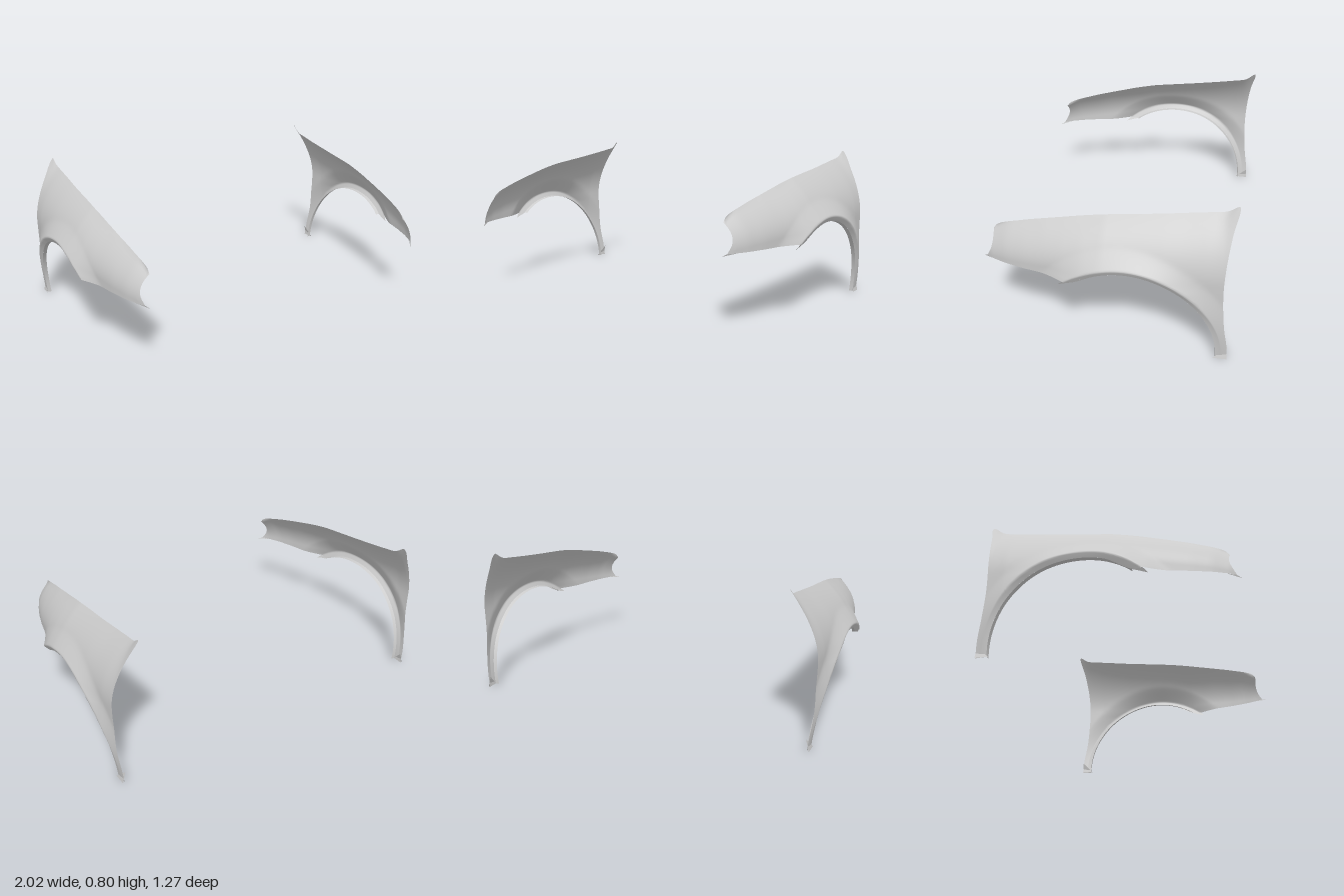
import * as THREE from 'three';

const material = new THREE.MeshStandardMaterial({ color: 0xcccccc, side: THREE.DoubleSide });

// Wheel arch circle in the side plane
const ARCH = { z: -0.12, y: 0.02, r: 0.445 };
const archPoint = (deg, r = ARCH.r) => {
  const a = THREE.MathUtils.degToRad(deg);
  return [ARCH.z + r * Math.cos(a), ARCH.y + r * Math.sin(a)];
};

// Upper outline: bonnet line from the front, then down the door edge (z, y)
const upper = [
  [0.578, 0.525], [0.555, 0.552], [0.42, 0.597], [0.3, 0.627], [0.2, 0.65], [0.12, 0.668],
  [0, 0.69], [-0.12, 0.705], [-0.25, 0.72], [-0.38, 0.737], [-0.5, 0.754], [-0.58, 0.768],
  [-0.635, 0.8], [-0.612, 0.68], [-0.595, 0.55], [-0.588, 0.42], [-0.592, 0.3],
  [-0.602, 0.19], [-0.617, 0.09], [-0.622, 0.004],
];
// Lower outline: straight sill, then round the wheel arch
const lower = [
  [0.612, 0.385], [0.53, 0.385], [0.4, 0.385], [0.27, 0.385], [0.19, 0.385],
  ...[55.1, 74, 90, 105, 118, 128, 135, 140, 143, 148, 154, 160, 167, 175, 182].map((d) => archPoint(d)),
];
const curve = (pts) => new THREE.CatmullRomCurve3(pts.map(([z, y]) => new THREE.Vector3(0, y, z)));
const upperCurve = curve(upper);
const lowerCurve = curve(lower);

// Piecewise linear lookup, keys rising
function lookup(table, k) {
  let i = 1;
  while (i < table.length - 1 && table[i][0] < k) i++;
  const [a, b] = [table[i - 1], table[i]];
  const t = THREE.MathUtils.clamp((k - a[0]) / (b[0] - a[0]), 0, 1);
  return a[1] + (b[1] - a[1]) * t;
}
const outerX = [[-0.64, 0.962], [-0.5, 0.972], [-0.3, 0.974], [0, 0.966], [0.1, 0.958], [0.2, 0.94],
  [0.3, 0.917], [0.4, 0.895], [0.5, 0.866], [0.58, 0.832], [0.635, 0.797]];
const innerX = [[-0.64, 0.832], [-0.55, 0.82], [0, 0.82], [0.15, 0.812], [0.3, 0.8], [0.45, 0.785], [0.58, 0.768]];
const topY = [[-0.635, 0.8], [-0.58, 0.768], [-0.4, 0.74], [-0.2, 0.715], [0, 0.69], [0.3, 0.627], [0.5, 0.572], [0.58, 0.525]];

// Sideways bulge of the panel, with the flare round the arch
function panelX(z, y) {
  const top = lookup(topY, z);
  const waist = lookup([[0, 0.45], [0.58, 0.4]], z);
  const s = THREE.MathUtils.clamp((top - y) / (top - waist), 0, 1);
  const xi = lookup(innerX, z);
  let x = xi + (lookup(outerX, z) - xi) * (1 - (1 - s) ** 2);
  if (z < 0) x -= 0.022 * Math.max(0, (0.45 - y) / 0.45) ** 1.5;
  const r = Math.hypot(z - ARCH.z, y - ARCH.y);
  const flare = r < 0.472
    ? THREE.MathUtils.mapLinear(r, 0.445, 0.472, 0.5, 1)
    : Math.max(0, 1 - (r - 0.472) / 0.09) ** 1.5;
  return x + 0.035 * flare * THREE.MathUtils.clamp(y / 0.4, 0, 1);
}

// Grid surface from a function (u, v) => [x, y, z]
function gridGeometry(fn, nu, nv) {
  const pos = [], idx = [];
  for (let i = 0; i <= nu; i++) for (let j = 0; j <= nv; j++) pos.push(...fn(i / nu, j / nv));
  for (let i = 0; i < nu; i++) {
    for (let j = 0; j < nv; j++) {
      const a = i * (nv + 1) + j, b = a + nv + 1;
      idx.push(a, b, a + 1, b, b + 1, a + 1);
    }
  }
  const g = new THREE.BufferGeometry();
  g.setAttribute('position', new THREE.Float32BufferAttribute(pos, 3));
  g.setIndex(idx);
  g.computeVertexNormals();
  return g;
}

function addMesh(group, geometry, name) {
  const m = new THREE.Mesh(geometry, material);
  m.name = name;
  group.add(m);
}

function createFender(name) {
  const fender = new THREE.Group();
  fender.name = name;

  // Outer skin, lofted from the upper to the lower outline
  addMesh(fender, gridGeometry((u, v) => {
    const t = 1 - (1 - v) ** 1.7;
    const p = upperCurve.getPoint(u).lerp(lowerCurve.getPoint(u), t);
    p.z -= 0.016 * Math.sin(Math.PI * t) * Math.max(0, 1 - u * 12); // concave lamp edge
    return [panelX(p.z, p.y), p.y, p.z];
  }, 114, 30), 'fenderPanel');

  // Turned-in lip round the wheel arch
  addMesh(fender, gridGeometry((u, v) => {
    const deg = 55.1 + (182 - 55.1) * u;
    const [z, y] = archPoint(deg);
    const [z2, y2] = archPoint(deg, ARCH.r - 0.003 * v);
    return [panelX(z, y) - 0.02 * v, y2, z2];
  }, 48, 1), 'archLip');

  // Small folded tabs at the ends of the panel
  const tab = (corners, label) => {
    const g = new THREE.BufferGeometry().setFromPoints(corners.map((c) => new THREE.Vector3(...c)));
    g.computeVertexNormals();
    addMesh(fender, g, label);
  };
  tab([[panelX(0.13, 0.385), 0.385, 0.13], [0.962, 0.36, 0.21], [panelX(0.185, 0.385), 0.385, 0.185]], 'archTab');
  tab([[panelX(0.56, 0.385), 0.385, 0.56], [0.795, 0.374, 0.635], [panelX(0.612, 0.385), 0.385, 0.612]], 'frontTab');
  tab([[0.952, 0.002, -0.555], [0.952, 0.002, -0.622], [0.935, 0.065, -0.62]], 'footTab');
  return fender;
}

export function createModel() {
  const model = new THREE.Group();
  model.name = 'fenderPair';
  const left = createFender('leftFender');
  const right = createFender('rightFender');
  right.scale.x = -1;
  model.add(left, right);
  return model;
}
